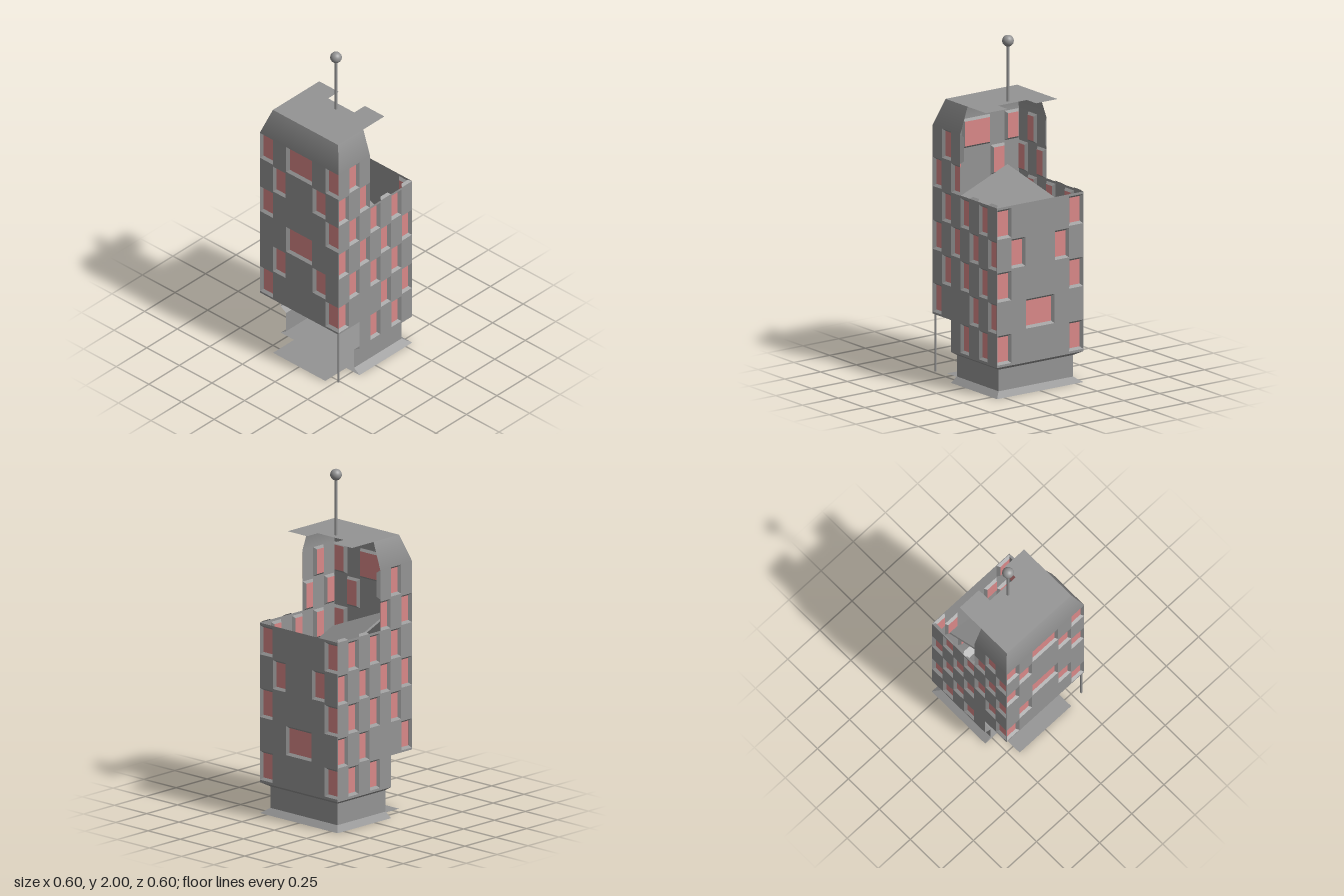
import * as THREE from 'three';

const GREY = 0x949494;
const grey = new THREE.MeshStandardMaterial({ color: GREY, side: THREE.DoubleSide, flatShading: true });
const smooth = new THREE.MeshStandardMaterial({ color: GREY, side: THREE.DoubleSide });
const pink = new THREE.MeshStandardMaterial({ color: 0xd98888, side: THREE.DoubleSide, flatShading: true });

const H = 0.302;       // half width of the tower
const EAVE = 1.46;     // foot of the sloped crown
const TOP = 1.615;     // roof height
const BREAK = 1.108;   // broken-off height of the low half
const EDGE = -0.0435;  // where the tall half ends
const DEPTH = 0.016;   // window recess

function add(parent, name, geometry, material = grey) {
  const mesh = new THREE.Mesh(geometry, material);
  mesh.name = name;
  parent.add(mesh);
  return mesh;
}

// Each quad is four [x, y, z] corners.
function quads(list) {
  const pos = [];
  for (const [a, b, c, d] of list) pos.push(...a, ...b, ...c, ...a, ...c, ...d);
  const g = new THREE.BufferGeometry();
  g.setAttribute('position', new THREE.Float32BufferAttribute(pos, 3));
  g.computeVertexNormals();
  return g;
}

const polygon = pts => new THREE.Shape(pts.map(([x, y]) => new THREE.Vector2(x, y)));
const rect = (u, v, hw, hh) => [[u - hw, v - hh], [u + hw, v - hh], [u + hw, v + hh], [u - hw, v + hh]];

// Thin wall with holes, splayed recesses and panes. windows: [u, row, halfWidth]
function wall(name, outline, windows, angle, mirror = 1) {
  const group = new THREE.Group();
  group.name = name;
  group.rotation.y = angle;
  const shape = polygon(outline.map(([u, v]) => [u * mirror, v]));
  const reveals = [], panes = [];
  for (const [u, row, hw] of windows) {
    const v = 0.279 + (row - 1) * 0.1825, hh = 0.085, inset = 0.013;
    const outer = rect(u * mirror, v, hw, hh);
    const inner = rect(u * mirror, v, hw - inset, hh - inset);
    shape.holes.push(new THREE.Path(outer.map(p => new THREE.Vector2(...p))));
    for (let i = 0; i < 4; i++) {
      const j = (i + 1) % 4;
      reveals.push([[...outer[i], H], [...outer[j], H], [...inner[j], H - DEPTH], [...inner[i], H - DEPTH]]);
    }
    panes.push(inner.map(p => [...p, H - DEPTH]));
  }
  add(group, name + 'Panel', new THREE.ShapeGeometry(shape)).position.z = H;
  add(group, name + 'WindowReveals', quads(reveals));
  add(group, name + 'WindowPanes', quads(panes), pink);
  return group;
}

// Crown slopes: normals are level at the eave, so the walls flow into them
function crownGeometry() {
  const list = [[[-H, EAVE, -H], [-H, EAVE, H], [-0.25, TOP, 0.25], [-0.25, TOP, -0.25]],
    [[-H, EAVE, H], [EDGE, EAVE, H], [EDGE, TOP, 0.25], [-0.25, TOP, 0.25]],
    [[EDGE, EAVE, -H], [-H, EAVE, -H], [-0.25, TOP, -0.25], [EDGE, TOP, -0.25]]];
  const g = quads(list);
  const { position, normal } = g.attributes;
  const n = new THREE.Vector3();
  for (let i = 0; i < position.count; i++) {
    if (position.getY(i) > EAVE + 0.01) continue;
    n.fromBufferAttribute(normal, i).setY(0).normalize();
    normal.setXYZ(i, n.x, n.y, n.z);
  }
  return g;
}

export function createModel() {
  const tower = new THREE.Group();
  tower.name = 'brokenTower';

  // Front and back: staggered windows, one low corner cut away, half the top gone
  const outline = [[-0.13, 0.18], [H, 0.18], [H, BREAK], [EDGE, BREAK], [EDGE, EAVE],
    [-H, EAVE], [-H, 0.365], [-0.13, 0.365]];
  const columns = [[0, 2], [-3, 1, 3], [-2, 0, 2], [-3, -1, 1, 3], [-2, 0, 2], [-3, -1], [-2]];
  const frontWindows = columns.flatMap((cols, r) => cols.map(c => [c * 0.086, r + 1, 0.041]));
  tower.add(wall('frontWall', outline, frontWindows, 0));
  tower.add(wall('backWall', outline, frontWindows, Math.PI, -1));

  // Side walls: pairs of windows alternating with one wide window
  const pair = (u, row) => [[-u, row, 0.049], [u, row, 0.049]];
  const wide = row => [[0, row, 0.1]];
  tower.add(wall('lowSideWall', [[-H, 0.18], [H, 0.18], [H, BREAK], [-H, BREAK]],
    [...pair(0.251, 1), ...wide(2), ...pair(0.251, 3), ...pair(0.152, 4), ...pair(0.251, 5)], Math.PI / 2));
  tower.add(wall('tallSideWall', [[-H, 0.365], [H, 0.365], [H, EAVE], [-H, EAVE]],
    [...pair(0.251, 2), ...pair(0.152, 3), ...wide(4), ...pair(0.251, 5), ...pair(0.152, 6),
      ...pair(0.251, 7), ...wide(7)], -Math.PI / 2));

  // Leftover sills and jambs of windows along the broken edge
  const remnants = [];
  for (const s of [1, -1]) {
    const out = s * H, inn = s * (H - DEPTH);
    remnants.push([[EDGE, 1.29, out], [EDGE, EAVE, out], [-0.031, 1.446, inn], [-0.031, 1.304, inn]]);
    for (const u of [0.086, 0.258])
      remnants.push([[u - 0.041, BREAK, out], [u + 0.041, BREAK, out], [u + 0.028, 1.119, inn], [u - 0.028, 1.119, inn]]);
  }
  add(tower, 'brokenWindowReveals', quads(remnants));

  // Sloped crown above the tall half
  add(tower, 'crownSlopes', crownGeometry(), smooth);

  // Ragged flat roof
  const roof = add(tower, 'roofPlate', new THREE.ShapeGeometry(polygon([[-0.25, -0.25], [0.13, -0.25],
    [0.13, -0.1], [0.043, -0.1], [0.043, 0.1], [0.13, 0.1], [0.13, 0.25], [-0.25, 0.25]])));
  roof.rotation.x = -Math.PI / 2;
  roof.position.y = TOP;

  // Soffit, plinth and skirt: a three-sided band swept through [height, half width]
  const profile = [[0.18, H], [0.155, 0.26], [0.03, 0.26], [0, H]];
  const ring = ([y, h]) => [[-0.13, y, h], [h, y, h], [h, y, -h], [-0.13, y, -h]];
  const band = [];
  for (let i = 0; i < 3; i++) {
    const a = ring(profile[i]), b = ring(profile[i + 1]);
    for (let k = 0; k < 3; k++) band.push([a[k], b[k], b[k + 1], a[k + 1]]);
  }
  add(tower, 'plinth', quads(band));

  // Ground plate with two corners missing
  const ground = add(tower, 'groundPlate', new THREE.ShapeGeometry(polygon([[-0.13, -H], [H, -H], [H, H],
    [-0.13, H], [-0.13, 0.2], [-H, 0.2], [-H, -0.2], [-0.13, -0.2]])));
  ground.rotation.x = -Math.PI / 2;

  // Fallen floor slab leaning inside
  const slab = [[0.217, 1.02, -0.242], [-0.25, 1.165, -0.183], [-0.25, 0.985, 0.265], [0.22, 0.84, 0.203]];
  const under = slab.map(([x, y, z]) => [x, y - 0.012, z - 0.004]);
  const faces = [slab, [...under].reverse()];
  for (let i = 0; i < 4; i++) {
    const j = (i + 1) % 4;
    faces.push([slab[j], slab[i], under[i], under[j]]);
  }
  add(tower, 'fallenSlab', quads(faces));

  // Corner post, mast and ball
  add(tower, 'cornerPost', new THREE.CylinderGeometry(0.006, 0.006, 0.335, 8), smooth).position.set(-0.29, 0.1975, 0.29);
  add(tower, 'mast', new THREE.CylinderGeometry(0.008, 0.008, 0.35, 12), smooth).position.y = 1.78;
  add(tower, 'mastBall', new THREE.SphereGeometry(0.033, 24, 16), smooth).position.y = 1.967;

  return tower;
}
